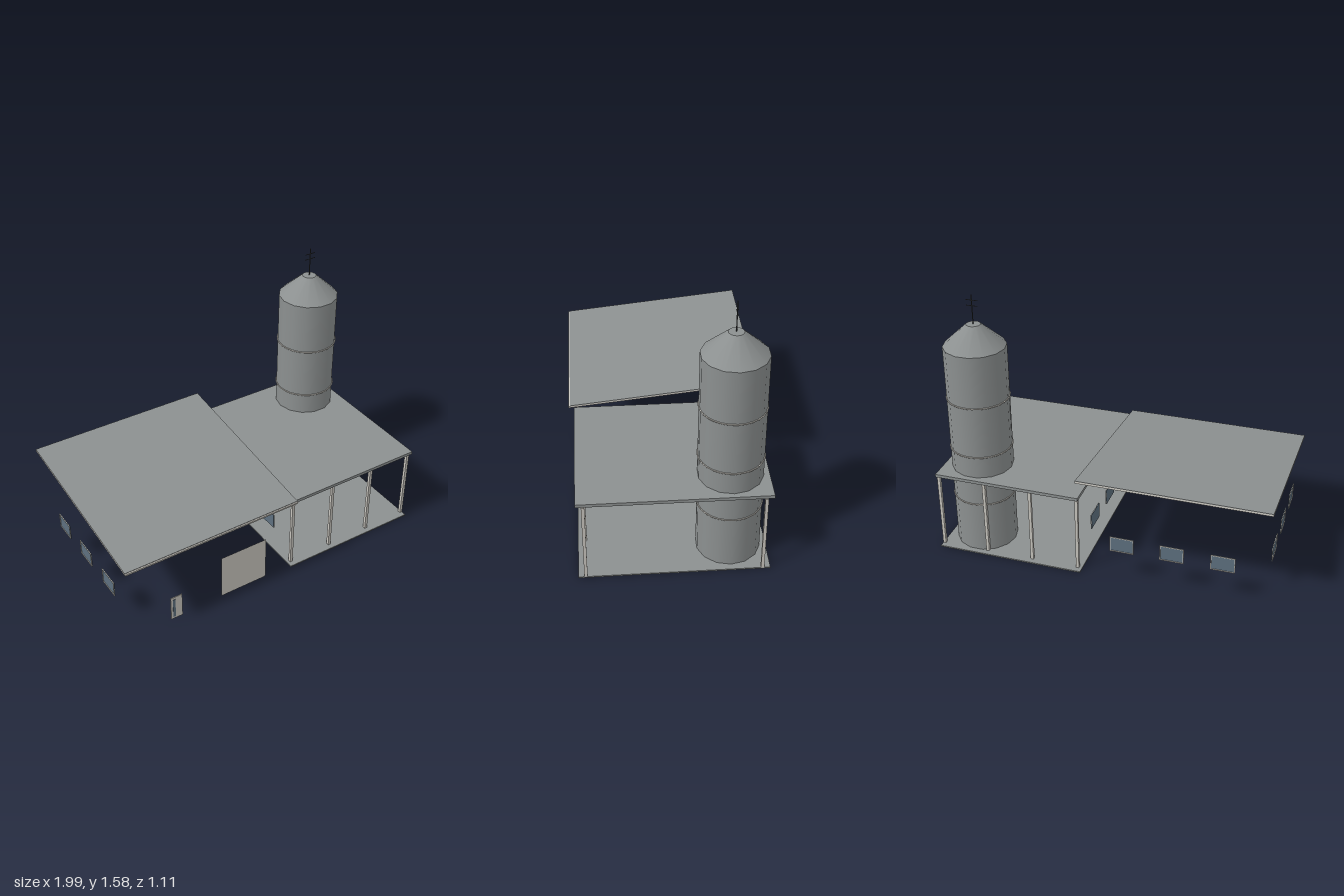
import * as THREE from 'three';

const mat = (name, color, side = THREE.FrontSide) => {
  const m = new THREE.MeshStandardMaterial({ color, side });
  m.name = name;
  return m;
};

export function createModel() {
  const metal = mat('grey metal', 0x8c9090);
  const cream = mat('pale cream', 0xc8c5be);
  const panel = mat('pale cream panel', 0xc8c5be, THREE.DoubleSide);
  const glass = mat('blue glass', 0x5d6f7e);
  const dark = mat('dark steel', 0x3a3c3e);

  const model = new THREE.Group();
  model.name = 'farmBuilding';

  const add = (parent, name, geometry, material, x = 0, y = 0, z = 0) => {
    const mesh = new THREE.Mesh(geometry, material);
    mesh.name = name;
    mesh.position.set(x, y, z);
    parent.add(mesh);
    return mesh;
  };
  const box = (parent, name, w, h, d, material, x, y, z) =>
    add(parent, name, new THREE.BoxGeometry(w, h, d), material, x, y, z);
  const group = (name, x, y, z) => {
    const g = new THREE.Group();
    g.name = name;
    g.position.set(x, y, z);
    model.add(g);
    return g;
  };

  // Sloping main roof: cream slab under a metal sheet
  const roof = group('mainRoof', -0.444, 0.576, -0.004);
  roof.rotation.x = 0.106;
  box(roof, 'roofSlab', 1.112, 0.011, 1.118, cream, 0, 0, 0);
  box(roof, 'roofSheet', 1.112, 0.003, 1.11, metal, 0, 0.007, -0.004);

  // Open annex: floor, flat canopy and two rows of posts
  box(model, 'annexFloor', 0.89, 0.008, 1.054, metal, 0.548, 0.004, -0.005);
  box(model, 'annexCanopy', 0.877, 0.019, 1.054, metal, 0.547, 0.502, -0.005);
  for (const z of [0.481, -0.489])
    for (let i = 0; i < 4; i++)
      box(model, 'post', 0.018, 0.486, 0.018, cream, 0.13 + i * 0.285, 0.251, z);

  // Silo with a conical top and three hoops
  const silo = group('silo', 0.775, 0, -0.32);
  const body = add(silo, 'siloBody', new THREE.CylinderGeometry(0.181, 0.181, 1.275, 14), metal, 0, 0.6375, 0);
  const cone = add(silo, 'siloCone', new THREE.CylinderGeometry(0.042, 0.181, 0.127, 14), metal, 0, 1.3385, 0);
  body.rotation.y = cone.rotation.y = Math.PI / 2;
  for (const y of [0.327, 0.645, 0.961])
    add(silo, 'siloHoop', new THREE.TorusGeometry(0.182, 0.004, 6, 28), cream, 0, y, 0).rotation.x = Math.PI / 2;

  // Aerial
  add(silo, 'aerialMast', new THREE.CylinderGeometry(0.003, 0.003, 0.176, 8), dark, 0, 1.488, 0);
  for (const y of [1.51, 1.543])
    box(silo, 'aerialBar', 0.07, 0.003, 0.003, dark, 0, y, 0);

  // Windows: glass plate with a thin frame on the outer face
  const addWindow = (x, z, turn) => {
    const g = group('window', x, 0.24, z);
    g.rotation.y = turn;
    box(g, 'glass', 0.14, 0.096, 0.003, glass, 0, 0, 0);
    for (const s of [-1, 1]) {
      box(g, 'frameRail', 0.14, 0.005, 0.004, cream, 0, s * 0.0455, 0.003);
      box(g, 'frameStile', 0.005, 0.096, 0.004, cream, s * 0.0675, 0, 0.003);
    }
  };
  for (const i of [-1, 0, 1]) {
    addWindow(0.09, i * 0.28, Math.PI / 2);
    addWindow(-0.978, i * 0.28, -Math.PI / 2);
    addWindow(-0.442 + i * 0.293, -0.52, Math.PI);
  }

  // Front doors
  add(model, 'garageDoor', new THREE.PlaneGeometry(0.305, 0.29), panel, -0.228, 0.155, 0.512);
  box(model, 'frontDoor', 0.074, 0.16, 0.005, cream, -0.682, 0.088, 0.515);
  box(model, 'doorWindow', 0.016, 0.13, 0.002, glass, -0.698, 0.087, 0.5185);

  return model;
}
